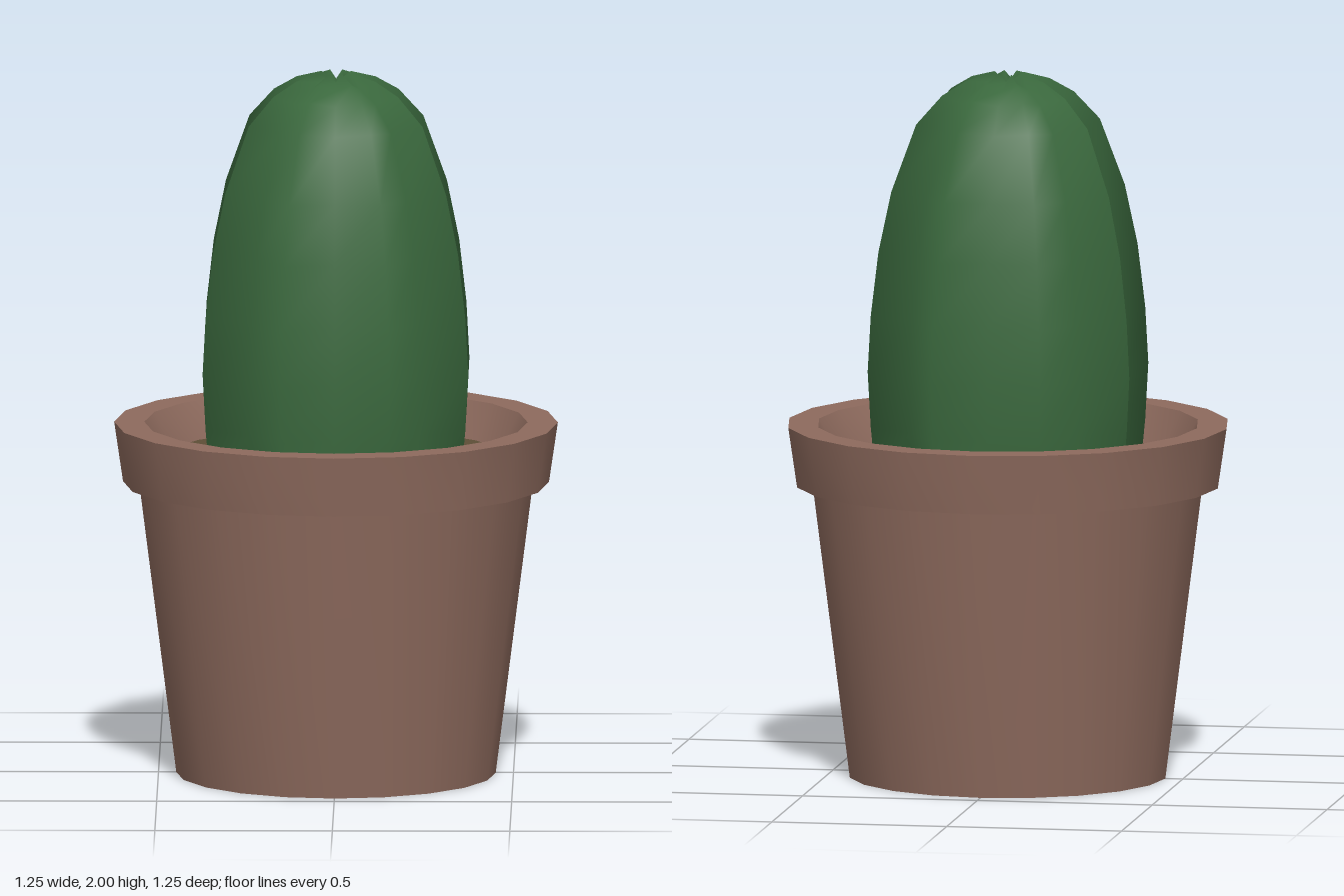
import * as THREE from 'three';
import { toCreasedNormals } from 'three/addons/utils/BufferGeometryUtils.js';

const POT_SIDES = 20;
const RIBS = 8;
const SOIL_Y = 0.9;

const clay = new THREE.MeshStandardMaterial({ color: 0x8d6a5d });
const earth = new THREE.MeshStandardMaterial({ color: 0x5d4e37 });
const green = new THREE.MeshStandardMaterial({ color: 0x3a683d });

function part(name, geometry, material) {
  const mesh = new THREE.Mesh(geometry, material);
  mesh.name = name;
  return mesh;
}

// Turned part: round sides stay smooth, profile corners stay sharp
function turned(name, profile, material) {
  const points = profile.map(([r, y]) => new THREE.Vector2(r, y));
  const lathe = new THREE.LatheGeometry(points, POT_SIDES);
  return part(name, toCreasedNormals(lathe, 0.6), material);
}

// Ribbed body: rings alternate between ridge and valley vertices
function cactusGeometry() {
  // [ridge radius, ridge height, valley radius, valley height]
  const rings = [
    [0.385, SOIL_Y - 0.01, 0.325, SOIL_Y - 0.01],
    [0.396, 1.0, 0.335, 1.0],
    [0.405, 1.16, 0.34, 1.16],
    [0.396, 1.32, 0.333, 1.32],
    [0.374, 1.5, 0.314, 1.5],
    [0.337, 1.67, 0.283, 1.665],
    [0.265, 1.86, 0.222, 1.85],
    [0.19, 1.94, 0.159, 1.925],
    [0.12, 1.98, 0.1, 1.96],
    [0.045, 2.0, 0.038, 1.975],
  ];
  const n = RIBS * 2;
  const positions = [];
  const index = [];
  for (const [ridgeR, ridgeY, valleyR, valleyY] of rings) {
    for (let i = 0; i < n; i++) {
      const a = (i / n) * Math.PI * 2;
      const ridge = i % 2 === 1;
      const r = ridge ? ridgeR : valleyR;
      positions.push(r * Math.sin(a), ridge ? ridgeY : valleyY, r * Math.cos(a));
    }
  }
  for (let j = 0; j < rings.length - 1; j++) {
    for (let i = 0; i < n; i++) {
      const a = j * n + i;
      const b = j * n + ((i + 1) % n);
      index.push(a, b, b + n, a, b + n, a + n);
    }
  }
  // Sunken crown
  const tip = positions.length / 3;
  positions.push(0, 1.97, 0);
  const last = (rings.length - 1) * n;
  for (let i = 0; i < n; i++) index.push(last + i, last + ((i + 1) % n), tip);

  const geometry = new THREE.BufferGeometry();
  geometry.setAttribute('position', new THREE.Float32BufferAttribute(positions, 3));
  geometry.setIndex(index);
  geometry.computeVertexNormals();
  return geometry;
}

export function createModel() {
  const model = new THREE.Group();
  model.name = 'pottedCactus';

  // Tapered pot with a closed base
  model.add(turned('pot', [[0, 0], [0.45, 0], [0.555, 0.83]], clay));

  // Overhanging rim, from its underside over the lip to the inner wall
  model.add(turned('rim', [
    [0.555, 0.83], [0.6, 0.83], [0.625, 1], [0.54, 1], [0.485, SOIL_Y],
  ], clay));

  model.add(turned('soil', [[0.487, SOIL_Y], [0, SOIL_Y]], earth));
  model.add(part('cactus', cactusGeometry(), green));
  return model;
}
